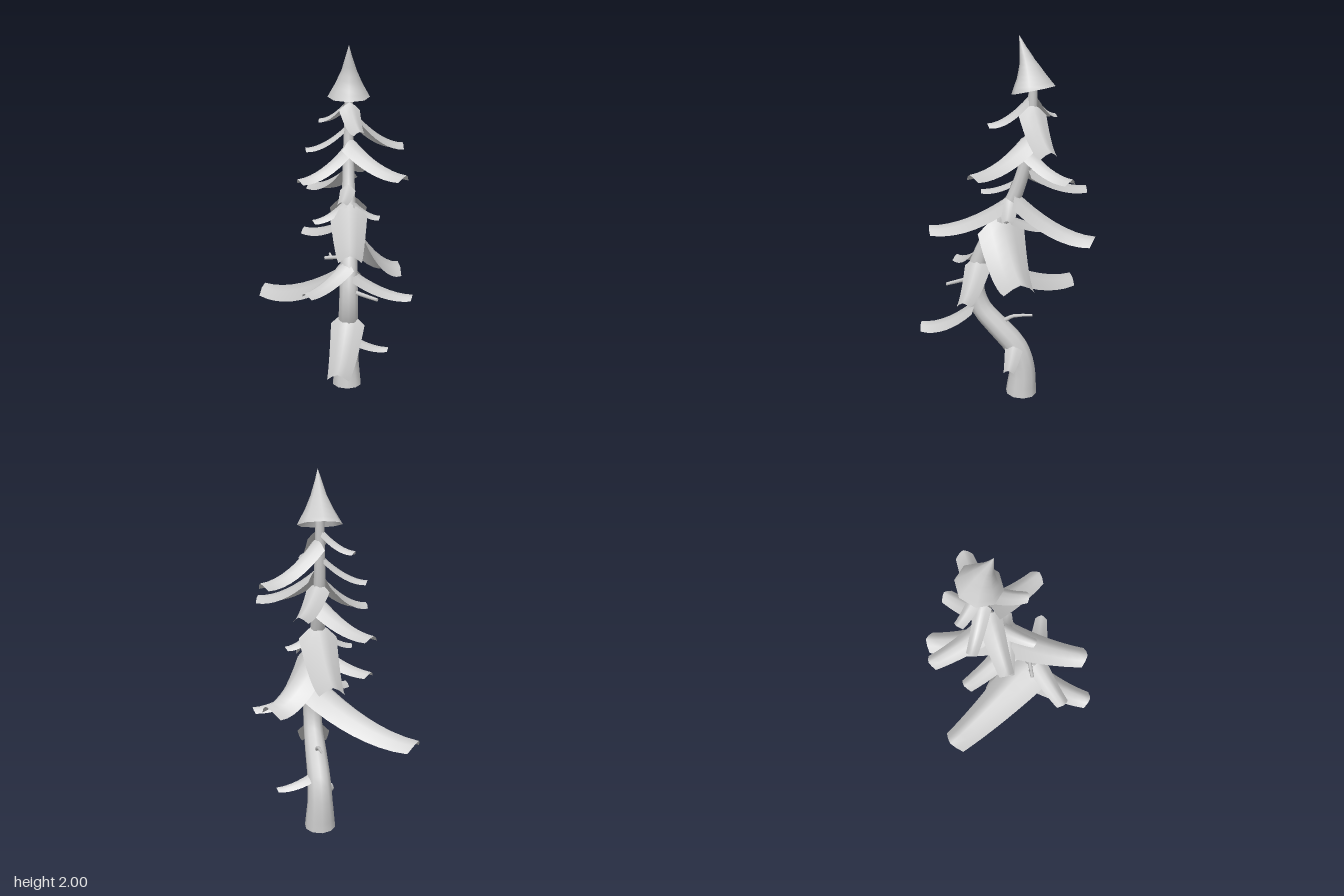
import * as THREE from 'three';

const V = (x, y, z) => new THREE.Vector3(x, y, z);

// Grid of rows -> smooth BufferGeometry; wrap closes each row into a ring
function gridGeometry(rows, wrap) {
  const n = rows[0].length, pos = [], index = [];
  rows.forEach(row => row.forEach(p => pos.push(p.x, p.y, p.z)));
  for (let i = 0; i < rows.length - 1; i++) {
    for (let j = 0; j < (wrap ? n : n - 1); j++) {
      const k = (j + 1) % n;
      const a = i * n + j, b = i * n + k, c = a + n, d = b + n;
      if (wrap) index.push(a, b, c, b, d, c);
      else index.push(a, c, b, b, c, d);
    }
  }
  const g = new THREE.BufferGeometry();
  g.setAttribute('position', new THREE.Float32BufferAttribute(pos, 3));
  g.setIndex(index);
  g.computeVertexNormals();
  return g;
}

// Tapered tube along a curve, open at the start: stations are [x, y, z, radius]
function taper(stations, sides, steps, ref) {
  const curve = new THREE.CatmullRomCurve3(stations.map(s => V(s[0], s[1], s[2])));
  const rows = [];
  const ring = (c, r, a, b) => Array.from({ length: sides }, (_, j) => {
    const q = j / sides * Math.PI * 2;
    return c.clone().addScaledVector(a, r * Math.cos(q)).addScaledVector(b, r * Math.sin(q));
  });
  for (let i = 0; i <= steps; i++) {
    const t = i / steps, f = t * (stations.length - 1);
    const k = Math.min(Math.floor(f), stations.length - 2);
    const r = THREE.MathUtils.lerp(stations[k][3], stations[k + 1][3], f - k);
    const c = curve.getPoint(t), dir = curve.getTangent(t);
    const a = ref.clone().cross(dir).normalize(), b = dir.clone().cross(a);
    rows.push(ring(c, r, a, b));
    // flat end cap with its own rim so the edge stays sharp
    if (i === steps) rows.push(ring(c, r, a, b), ring(c, 0, a, b));
  }
  return gridGeometry(rows, true);
}

// Trunk axis: [x, y, z, radius]
const TRUNK = [
  [0.09, 0, -0.109, 0.089], [0.09, 0.16, -0.115, 0.073], [0.09, 0.28, -0.078, 0.067],
  [0.09, 0.4, 0.03, 0.063], [0.09, 0.5, 0.12, 0.058], [0.09, 0.61, 0.158, 0.055],
  [0.09, 0.72, 0.152, 0.052], [0.092, 0.9, 0.08, 0.048], [0.092, 1.08, -0.03, 0.043],
  [0.092, 1.25, -0.1, 0.037], [0.092, 1.45, -0.148, 0.031], [0.092, 1.76, -0.165, 0.023],
];

function trunkAt(y) {
  let k = 0;
  while (k < TRUNK.length - 2 && TRUNK[k + 1][1] < y) k++;
  const a = TRUNK[k], b = TRUNK[k + 1], f = (y - a[1]) / (b[1] - a[1]);
  return V(a[0], y, a[2] + (b[2] - a[2]) * f);
}

// Drooping arched bough from the trunk to a tip, wide at the root
function bough(rootY, x, y, z, rootWidth, tipWidth) {
  const root = trunkAt(rootY - 0.03), tip = V(x, y, z);
  const d = V(x - root.x, 0, z - root.z), len = d.length();
  d.normalize();
  const side = V(d.z, 0, -d.x), rows = [];
  for (let i = 0; i <= 8; i++) {
    const s = i / 8;
    const half = THREE.MathUtils.lerp(rootWidth, tipWidth, s) / 2;
    const out = 0.02 + (len - 0.02) * s;
    const ridge = tip.y + (rootY + 0.02 - tip.y) * Math.pow(1 - s, 1.75);
    rows.push([-1, -0.5, 0, 0.5, 1].map(u => {
      const fall = half * Math.pow(Math.abs(u), 1.5);
      const p = V(root.x, ridge - 0.74 * fall, root.z);
      return p.addScaledVector(d, out - 0.4 * fall * s).addScaledVector(side, half * u);
    }));
  }
  return gridGeometry(rows, false);
}

// rootY, tip x, tip y, tip z, root width, tip width
const BOUGHS = [
  [0.315, 0.337, 0.247, -0.082, 0.11, 0.055],
  [0.54, 0.025, 0.36, 0.508, 0.19, 0.115],
  [0.815, -0.42, 0.572, -0.325, 0.29, 0.155],
  [0.79, 0.446, 0.662, 0.135, 0.15, 0.075],
  [0.84, -0.147, 0.737, 0.328, 0.13, 0.08],
  [1.04, 0.39, 0.763, -0.163, 0.27, 0.17],
  [1.045, -0.168, 0.953, -0.252, 0.15, 0.085],
  [1.13, 0.09, 0.972, 0.422, 0.21, 0.12],
  [1.17, 0.087, 0.957, -0.51, 0.21, 0.13],
  [1.145, 0.272, 1.066, -0.06, 0.1, 0.055],
  [1.145, -0.113, 1.056, 0.0, 0.1, 0.055],
  [1.225, 0.05, 1.185, 0.128, 0.09, 0.055],
  [1.31, -0.133, 1.192, -0.432, 0.16, 0.09],
  [1.435, -0.192, 1.287, 0.0, 0.14, 0.08],
  [1.405, 0.237, 1.292, -0.397, 0.13, 0.085],
  [1.475, 0.398, 1.327, 0.103, 0.17, 0.1],
  [1.54, -0.155, 1.436, -0.188, 0.09, 0.06],
  [1.635, 0.415, 1.452, -0.307, 0.15, 0.095],
  [1.675, 0.15, 1.556, 0.069, 0.12, 0.065],
  [1.675, -0.075, 1.596, -0.257, 0.08, 0.055],
];

// Bare twigs and stubs
const TWIGS = [
  [[0.09, 0.2, -0.11, 0.031], [0.05, 0.2, -0.065, 0.031], [0.016, 0.2, -0.03, 0.029]],
  [[0.09, 0.39, 0.03, 0.016], [0.09, 0.44, -0.02, 0.013], [0.09, 0.465, -0.065, 0.01], [0.09, 0.478, -0.172, 0.007]],
  [[0.1, 0.69, 0.15, 0.013], [0.17, 0.687, 0.215, 0.011], [0.24, 0.685, 0.282, 0.009]],
  [[0.08, 0.87, 0.09, 0.013], [0.02, 0.87, 0.105, 0.011], [-0.042, 0.872, 0.122, 0.01]],
  [[0.0, 0.87, 0.11, 0.007], [-0.01, 0.88, 0.1, 0.007], [-0.015, 0.893, 0.095, 0.006]],
];

export function createModel() {
  const grey = new THREE.MeshStandardMaterial({ color: 0xcccccc, side: THREE.DoubleSide });
  grey.name = 'plain grey';
  const tree = new THREE.Group();
  tree.name = 'crookedTree';
  const add = (geometry, name) => {
    const mesh = new THREE.Mesh(geometry, grey);
    mesh.name = name;
    tree.add(mesh);
  };

  add(taper(TRUNK, 10, 33, V(1, 0, 0)), 'trunk');
  BOUGHS.forEach((b, i) => add(bough(...b), 'bough' + (i + 1)));
  TWIGS.forEach((t, i) => add(taper(t, 6, 6, V(0, 1, 0.01)), 'twig' + (i + 1)));

  // Leaning, flared crown, hollow underneath
  add(taper([
    [0.092, 1.725, -0.165, 0.119], [0.092, 1.8, -0.15, 0.075],
    [0.092, 1.87, -0.131, 0.042], [0.09, 1.94, -0.108, 0.019], [0.09, 2, -0.09, 0.001],
  ], 8, 12, V(1, 0, 0)), 'crown');

  return tree;
}
